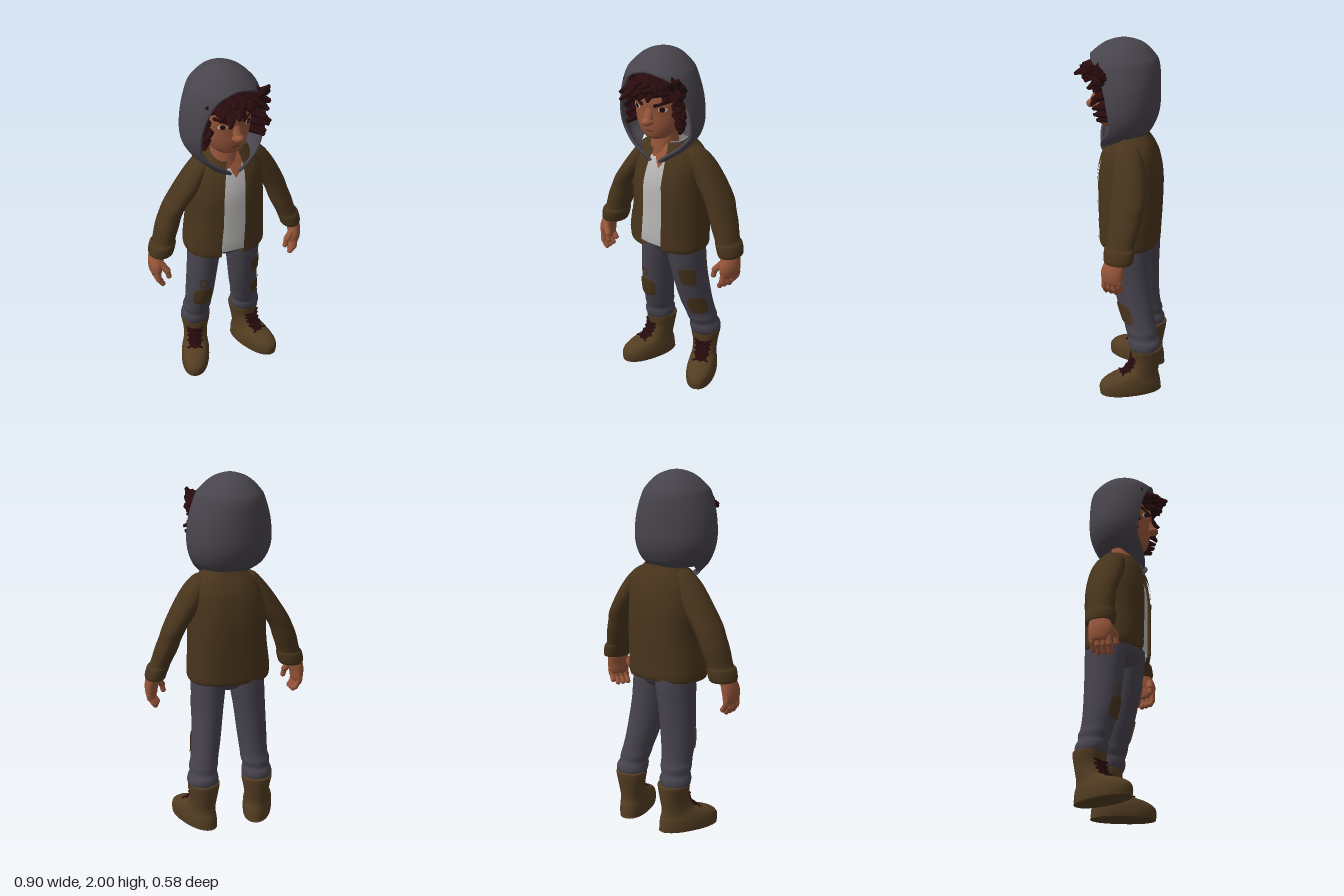
import * as THREE from 'three';
import { mergeVertices } from 'three/addons/utils/BufferGeometryUtils.js';

const mat = (name, color) => new THREE.MeshStandardMaterial({ name, color, side: THREE.DoubleSide });
const V = (x, y, z) => new THREE.Vector3(x, y, z);
const val = (f, v) => (typeof f === 'function' ? f(v) : f);

// Smooth surface through horizontal oval rings [x, y, z, halfWidth, halfDepth], bottom to top; t = 0 faces +z
function surface(rows, power = 1) {
  const n = rows.length - 1;
  const pw = (s) => Math.sign(s) * Math.abs(s) ** power;
  const at = (t, v, off = 0) => {
    const i = Math.min(n - 1, Math.floor(v * n)), f = v * n - i;
    const [x, y, z, a, b] = rows[i].map((p1, k) => {
      const p2 = rows[i + 1][k], p0 = rows[Math.max(0, i - 1)][k], p3 = rows[Math.min(n, i + 2)][k];
      return p1 + 0.5 * f * (p2 - p0 + f * (2 * p0 - 5 * p1 + 4 * p2 - p3 + f * (3 * (p1 - p2) + p3 - p0)));
    });
    return V(x + (Math.max(0, a) + off) * pw(Math.sin(t)), y, z + (Math.max(0, b) + off) * pw(Math.cos(t)));
  };
  // Parameter v at a given height
  at.v = (y) => {
    let lo = 0, hi = 1;
    for (let k = 0; k < 24; k++) {
      const m = (lo + hi) / 2;
      if (at(Math.PI / 2, m).y < y) lo = m; else hi = m;
    }
    return lo;
  };
  return at;
}

// Grid over a piece of a surface; t0 and t1 may depend on v
function sheet(surf, t0, t1, v0, v1, off = 0, nt = 10, nv = 10) {
  const pos = [], idx = [];
  for (let j = 0; j <= nv; j++) for (let i = 0; i <= nt; i++) {
    const v = v0 + (v1 - v0) * j / nv, a = val(t0, v), b = val(t1, v);
    pos.push(...surf(a + (b - a) * i / nt, v, off));
  }
  for (let j = 0; j < nv; j++) for (let i = 0; i < nt; i++) {
    const a = j * (nt + 1) + i, c = a + nt + 1;
    idx.push(a, a + 1, c + 1, a, c + 1, c);
  }
  let g = new THREE.BufferGeometry();
  g.setAttribute('position', new THREE.Float32BufferAttribute(pos, 3));
  g.setIndex(idx);
  g = mergeVertices(g, 1e-5);
  g.computeVertexNormals();
  return g;
}
const whole = (surf, nv = 40) => sheet(surf, -Math.PI, Math.PI, 0, 1, 0, 32, nv);
// Thin oval plate on a surface; a higher exponent makes it squarer
function oval(surf, t, w, y, h, off, e = 2) {
  const a = surf.v(y - h), b = surf.v(y + h);
  const r = (v) => w * Math.max(0, 1 - Math.abs((2 * v - a - b) / (b - a)) ** e) ** (1 / e);
  return sheet(surf, (v) => t - r(v), (v) => t + r(v), a, b, off, 10, 14);
}
function add(parent, name, geometry, material) {
  const m = new THREE.Mesh(geometry, material);
  m.name = name;
  parent.add(m);
  return m;
}
function group(parent, name, x, y, z, yaw) {
  const g = new THREE.Group();
  g.name = name;
  g.position.set(x, y, z);
  g.rotation.y = yaw;
  parent.add(g);
  return g;
}
// Place a y-aligned geometry between two points
function span(g, p, q) {
  const d = q.clone().sub(p).normalize();
  g.applyQuaternion(new THREE.Quaternion().setFromUnitVectors(V(0, 1, 0), d));
  return g.translate(...p.clone().lerp(q, 0.5));
}
const capsule = (p, q, r) => span(new THREE.CapsuleGeometry(r, p.distanceTo(q), 5, 10), p, q);
// Faceted, bent curl of hair with a blunt tip
function lock(p, q, r, bend) {
  const l = p.distanceTo(q);
  let g = new THREE.CylinderGeometry(0.009, r, l, 6, 4);
  const a = g.attributes.position;
  for (let i = 0; i < a.count; i++) {
    const f = a.getY(i) / l + 0.5;
    a.setX(i, a.getX(i) * (1 + Math.sin(f * Math.PI) * 0.6) + bend * Math.sin(f * Math.PI));
  }
  g = span(g, p, q).toNonIndexed();
  g.computeVertexNormals();
  return g;
}

export function createModel() {
  const jacketM = mat('jacket brown', 0x48341c), pantsM = mat('trouser grey', 0x47434e), hoodM = mat('hood grey', 0x48444c);
  const bootM = mat('boot brown', 0x533d22), skinM = mat('skin', 0x97563a), hairM = mat('dark hair', 0x280b0d);
  const shirtM = mat('shirt white', 0xbab9b7), eyeM = mat('eye white', 0xd0c4ba), lipM = mat('lips', 0x75402c);
  const model = new THREE.Group();
  model.name = 'hoodedBoy';

  // Boots with crossed laces
  for (const [side, x, z, yaw] of [['left', 0.137, -0.2, 0.64], ['right', -0.17, -0.11, -0.12]]) {
    const boot = group(model, side + 'Boot', x, 0, z, yaw);
    const s = surface([[0, 0.005, 0.085, 0, 0], [0, 0.005, 0.085, 0.07, 0.16], [0, 0.02, 0.09, 0.083, 0.177], [0, 0.07, 0.09, 0.083, 0.174],
      [0, 0.105, 0.072, 0.076, 0.147], [0, 0.14, 0.025, 0.07, 0.098], [0, 0.2, 0, 0.074, 0.082], [0, 0.265, -0.003, 0.086, 0.088],
      [0, 0.283, -0.003, 0.083, 0.083], [0, 0.278, 0, 0.06, 0.06]], 0.9);
    add(boot, 'bootBody', whole(s, 54), bootM);
    add(boot, 'bootTongue', oval(s, 0, 0.5, 0.177, 0.05, 0.004, 4), hairM);
    for (let k = 0; k < 4; k++) for (const m of [-1, 1]) {
      const y = 0.125 + k * 0.025;
      const pts = [-1, 0, 1].map((e) => s(e * m * 0.6, s.v(y + (e + 1) * 0.014), 0.006));
      add(boot, 'lace', new THREE.TubeGeometry(new THREE.CatmullRomCurve3(pts), 8, 0.007, 5), hairM);
    }
  }

  // Trousers with hem folds and sewn patches
  const leftLeg = surface([[0.14, 0.26, -0.198, 0.075, 0.075], [0.14, 0.29, -0.195, 0.088, 0.09], [0.14, 0.32, -0.19, 0.086, 0.092],
    [0.138, 0.345, -0.182, 0.078, 0.084], [0.135, 0.38, -0.172, 0.082, 0.09], [0.13, 0.42, -0.16, 0.079, 0.091], [0.12, 0.52, -0.13, 0.083, 0.1],
    [0.11, 0.7, -0.09, 0.091, 0.11], [0.102, 0.85, -0.07, 0.1, 0.12], [0.09, 0.95, -0.06, 0.1, 0.12]]);
  const rightLeg = surface([[-0.17, 0.26, -0.105, 0.075, 0.075], [-0.17, 0.29, -0.103, 0.086, 0.088], [-0.168, 0.32, -0.1, 0.084, 0.09],
    [-0.165, 0.345, -0.095, 0.076, 0.084], [-0.16, 0.38, -0.09, 0.082, 0.09], [-0.152, 0.42, -0.08, 0.079, 0.091], [-0.142, 0.52, -0.065, 0.084, 0.1],
    [-0.125, 0.7, -0.06, 0.091, 0.11], [-0.108, 0.85, -0.06, 0.1, 0.12], [-0.095, 0.95, -0.055, 0.1, 0.12]]);
  add(model, 'leftTrouserLeg', whole(leftLeg), pantsM);
  add(model, 'rightTrouserLeg', whole(rightLeg), pantsM);
  add(model, 'trouserSeat', whole(surface([[0, 0.8, -0.06, 0, 0], [0, 0.82, -0.06, 0.06, 0.09], [-0.005, 0.87, -0.06, 0.18, 0.13], [-0.005, 0.95, -0.055, 0.19, 0.13]])), pantsM);
  add(model, 'rightKneePatch', oval(rightLeg, 0.12, 0.68, 0.52, 0.065, 0.006, 3), jacketM);
  add(model, 'rightThighTearEdge', oval(rightLeg, 0.02, 0.25, 0.625, 0.032, 0.004), jacketM);
  add(model, 'rightThighTear', oval(rightLeg, 0.02, 0.14, 0.625, 0.019, 0.006), pantsM);
  add(model, 'leftThighPatch', oval(leftLeg, 0.85, 0.45, 0.7, 0.06, 0.006, 5), jacketM);
  add(model, 'leftKneePatch', oval(leftLeg, 1.0, 0.6, 0.495, 0.062, 0.006, 3), jacketM);

  // Torso: shirt, open collar and jacket
  const torso = group(model, 'torso', 0, 0, -0.05, 0.28);
  const shirt = surface([[0, 0.89, 0.01, 0.2, 0.145], [0, 0.95, 0.008, 0.2, 0.153], [0, 1.1, 0, 0.195, 0.163], [0, 1.25, 0, 0.19, 0.163],
    [0.01, 1.36, 0, 0.17, 0.143], [0.015, 1.43, 0.005, 0.13, 0.113], [0.015, 1.48, 0.01, 0.085, 0.09], [0.015, 1.5, 0.01, 0.07, 0.075]], 0.85);
  add(torso, 'shirt', whole(shirt), shirtM);
  const neckV = shirt.v(1.36);
  add(torso, 'openNeck', sheet(shirt, (v) => -1.6 * (v - neckV), (v) => 1.6 * (v - neckV), neckV, 1, 0.004), skinM);
  add(torso, 'hoodCollar', sheet(shirt, 0.5, Math.PI * 2 - 0.5, shirt.v(1.38), 1, 0.006, 32, 10), hoodM);
  const coat = surface([[-0.008, 0.885, 0.005, 0.205, 0.145], [-0.008, 0.868, 0.005, 0.222, 0.161], [-0.008, 0.89, 0.005, 0.231, 0.17], [-0.008, 0.95, 0.004, 0.23, 0.172],
    [0, 1.1, 0.001, 0.218, 0.177], [0, 1.25, 0, 0.212, 0.177], [0.01, 1.37, -0.002, 0.195, 0.157],
    [0.015, 1.44, -0.003, 0.16, 0.129], [0.015, 1.48, 0, 0.12, 0.108], [0.015, 1.5, 0, 0.1, 0.098]], 0.85);
  const gaps = { left: 0.19, right: 0.29 };
  add(torso, 'jacketBody', sheet(coat, gaps.left, Math.PI * 2 - gaps.right, 0, 1, 0, 48, 48), jacketM);
  const lapV = coat.v(1.25);
  for (const m of [-1, 1]) {
    const side = m > 0 ? 'left' : 'right', gap = gaps[side];
    const strip = (name, a, b, y0, y1, off) => add(torso, side + name, sheet(coat, m > 0 ? a : (v) => -val(b, v), m > 0 ? b : (v) => -val(a, v), coat.v(y0), coat.v(y1), off), jacketM);
    strip('JacketEdge', gap - 0.01, gap + 0.08, 0.88, 1.45, 0.004);
    strip('Lapel', gap - 0.015, (v) => gap + Math.max(0, v - lapV) * 2.1, 1.25, 1.46, 0.009);
    strip('ChestPocket', 0.5, 0.86, 1.12, 1.23, 0.004);
    strip('ChestPocketFlap', 0.47, 0.89, 1.21, 1.25, 0.008);
    strip('LowerPocket', 0.55, 0.95, 0.94, 1.05, 0.004);
  }

  // Sleeves with cuffs
  const sleeves = {
    left: [[0.395, 0.93, -0.14, 0.04, 0.055], [0.395, 0.9, -0.14, 0.054, 0.073], [0.393, 0.92, -0.14, 0.06, 0.082], [0.378, 0.965, -0.14, 0.062, 0.083], [0.366, 0.985, -0.14, 0.057, 0.077],
      [0.332, 1.07, -0.145, 0.064, 0.086], [0.31, 1.13, -0.147, 0.063, 0.088], [0.281, 1.2, -0.147, 0.068, 0.093], [0.215, 1.32, -0.125, 0.077, 0.09], [0.168, 1.41, -0.1, 0.068, 0.078],
      [0.138, 1.462, -0.08, 0.042, 0.05], [0.11, 1.478, -0.07, 0, 0]],
    right: [[-0.37, 0.93, 0.075, 0.04, 0.055], [-0.37, 0.9, 0.075, 0.064, 0.072], [-0.367, 0.92, 0.073, 0.073, 0.083], [-0.357, 0.965, 0.07, 0.073, 0.085], [-0.35, 0.985, 0.065, 0.065, 0.076],
      [-0.327, 1.07, 0.05, 0.068, 0.084], [-0.307, 1.13, 0.04, 0.066, 0.086], [-0.272, 1.2, 0.03, 0.069, 0.092], [-0.19, 1.32, 0.01, 0.076, 0.09], [-0.137, 1.41, -0.005, 0.062, 0.078],
      [-0.105, 1.462, -0.02, 0.042, 0.05], [-0.07, 1.478, -0.03, 0, 0]],
  };
  for (const side in sleeves) add(model, side + 'Sleeve', whole(surface(sleeves[side]), 55), jacketM);

  // Hands: palm, four curled fingers and a thumb
  for (const [side, m, x, z, yaw] of [['left', 1, 0.408, -0.13, -0.15], ['right', -1, -0.396, 0.085, 0.3]]) {
    const hand = group(model, side + 'Hand', x, 0.935, z, yaw);
    hand.scale.set(m * 1.1, 1.06, 1.06);
    add(hand, 'palm', whole(surface([[0.01, -0.15, 0.01, 0, 0], [0.012, -0.14, 0.01, 0.024, 0.05], [0.012, -0.09, 0.012, 0.033, 0.062], [0.003, -0.04, 0.005, 0.035, 0.056], [-0.008, 0, 0, 0.03, 0.042]]), 24), skinM);
    for (let k = 0; k < 4; k++) {
      const fz = -0.033 + k * 0.029, tip = k === 0 ? 0.018 : 0;
      add(hand, 'finger', capsule(V(0.015, -0.125, fz), V(0.012, -0.165 + tip, fz + 0.003), 0.016), skinM);
      add(hand, 'fingertip', capsule(V(0.012, -0.165 + tip, fz + 0.003), V(-0.008, -0.196 + tip, fz + 0.004), 0.014), skinM);
    }
    add(hand, 'thumb', capsule(V(0, -0.06, 0.05), V(-0.028, -0.105, 0.075), 0.018), skinM);
    add(hand, 'thumbTip', capsule(V(-0.028, -0.105, 0.075), V(-0.035, -0.14, 0.08), 0.014), skinM);
  }

  // Head and face
  const head = group(model, 'head', -0.015, 0, 0, 0.38);
  const skull = surface([[0, 1.52, 0.055, 0, 0], [0, 1.525, 0.06, 0.04, 0.045], [0, 1.55, 0.05, 0.083, 0.085], [0, 1.61, 0.035, 0.12, 0.115], [0, 1.68, 0.02, 0.137, 0.135],
    [0, 1.76, 0.015, 0.142, 0.148], [0, 1.84, 0.005, 0.125, 0.13], [0, 1.89, 0, 0.06, 0.07], [0, 1.9, 0, 0, 0]]);
  add(head, 'face', whole(skull), skinM);
  add(head, 'neck', new THREE.CylinderGeometry(0.07, 0.08, 0.18, 20).translate(0.01, 1.5, 0), skinM);
  add(head, 'noseBridge', capsule(V(0, 1.72, 0.132), V(0, 1.655, 0.163), 0.024), skinM);
  add(head, 'noseTip', new THREE.SphereGeometry(0.026, 16, 12).scale(1.15, 0.85, 1).translate(0, 1.645, 0.177), skinM);
  add(head, 'mouth', oval(skull, 0, 0.24, 1.585, 0.007, 0.003), lipM);
  for (const m of [-1, 1]) {
    add(head, 'nostril', new THREE.SphereGeometry(0.014, 12, 8).translate(m * 0.02, 1.642, 0.163), skinM);
    add(head, 'eye', oval(skull, m * 0.56, 0.18, 1.712, 0.014, 0.003), eyeM);
    add(head, 'iris', oval(skull, m * 0.54, 0.11, 1.713, 0.0145, 0.005), hairM);
    add(head, 'brow', capsule(skull(m * 0.28, skull.v(1.733)), skull(m * 0.85, skull.v(1.758)), 0.01), hairM);
  }

  // Hair: a cap with layered curls across the brow and down the sides
  add(head, 'hairCap', sheet(skull, -1.9, 1.9, skull.v(1.8), 1, 0.02, 24, 10), hairM);
  let seed = 7;
  const rnd = () => (seed = (seed * 16807) % 2147483647) / 2147483647;
  for (let layer = 0; layer < 3; layer++) for (let k = 0; k < 10; k++) {
    const t = -0.95 + 2.0 * (k + rnd() * 0.7) / 10, s = Math.sin(t), c = Math.cos(t);
    const out = (t < -0.35 ? 0.172 : 0.19) + rnd() * 0.035 - layer * 0.006, y = 1.868 - layer * 0.027;
    const drop = 0.01 + rnd() * 0.05 + (t < 0 ? 0.008 : 0);
    add(head, 'fringeCurl', lock(V(s * 0.12, y, c * 0.13 + 0.01), V(s * out * 0.9 + rnd() * 0.04 - 0.02, y - drop, c * out + 0.015), 0.028, rnd() * 0.04 - 0.02), hairM);
  }
  for (const m of [-1, 1]) for (let k = 0; k < 9; k++) {
    const y = 1.84 - k * 0.027, r = m > 0 ? 0.172 : 0.148, z = m > 0 ? 0.13 : 0.085;
    add(head, 'sideCurl', lock(V(m * 0.125, y, 0.06), V(m * (r + rnd() * 0.025), y - 0.02 - rnd() * 0.03, z + rnd() * 0.04), 0.027, rnd() * 0.04 - 0.02), hairM);
  }
  const strays = [[-0.1, 1.78, 0.27], [-0.04, 1.8, 0.255], [-0.13, 1.8, 0.225], [0.18, 1.9, 0.17], [0.195, 1.86, 0.15], [0.14, 1.88, 0.19], [0.195, 1.8, 0.16], [0.17, 1.77, 0.185]];
  for (const [x, y, z] of strays) add(head, 'strayCurl', lock(V(x * 0.7, 1.83, z * 0.6), V(x, y, z), 0.034, 0.014), hairM);

  // Hood with an opening that narrows to a point at the throat and is wider on the left
  const dome = surface([[0.01, 1.49, -0.002, 0.145, 0.125], [0.005, 1.53, 0.002, 0.2, 0.163], [0, 1.62, 0.004, 0.233, 0.198], [-0.002, 1.75, 0.006, 0.225, 0.205],
    [-0.005, 1.87, 0.008, 0.187, 0.198], [-0.005, 1.92, 0.005, 0.155, 0.167], [-0.005, 1.97, 0, 0.1, 0.11], [-0.005, 1.995, 0, 0.04, 0.045], [-0.005, 2, 0, 0, 0]]);
  const hood = (t, v, off) => {
    const p = dome(t, v, off);
    p.y -= 0.09 * Math.max(0, 1 - v * 4) * Math.max(0, Math.cos(t));
    return p;
  };
  const top = 0.61;
  const open = (v) => (0.15 + 0.85 * THREE.MathUtils.smoothstep(v, -0.02, 0.2)) * Math.max(0, 1 - (v / top) ** 4) ** 0.7;
  const leftEdge = (v) => 1.22 * open(v), rightEdge = (v) => -1.0 * open(v);
  const around = (v) => Math.PI * 2 + rightEdge(v);
  add(head, 'hoodShell', sheet(hood, leftEdge, around, 0, 1, 0, 48, 64), hoodM);
  add(head, 'hoodLining', sheet(hood, leftEdge, around, 0, 0.7, -0.015, 48, 44), hoodM);
  const rim = [];
  for (let k = 0; k <= 16; k++) rim.push(hood(leftEdge(k / 16 * top), k / 16 * top, -0.0075));
  for (let k = 15; k >= 0; k--) rim.push(hood(rightEdge(k / 16 * top), k / 16 * top, -0.0075));
  add(head, 'hoodRim', new THREE.TubeGeometry(new THREE.CatmullRomCurve3(rim), 100, 0.0085, 8), hoodM);
  return model;
}
